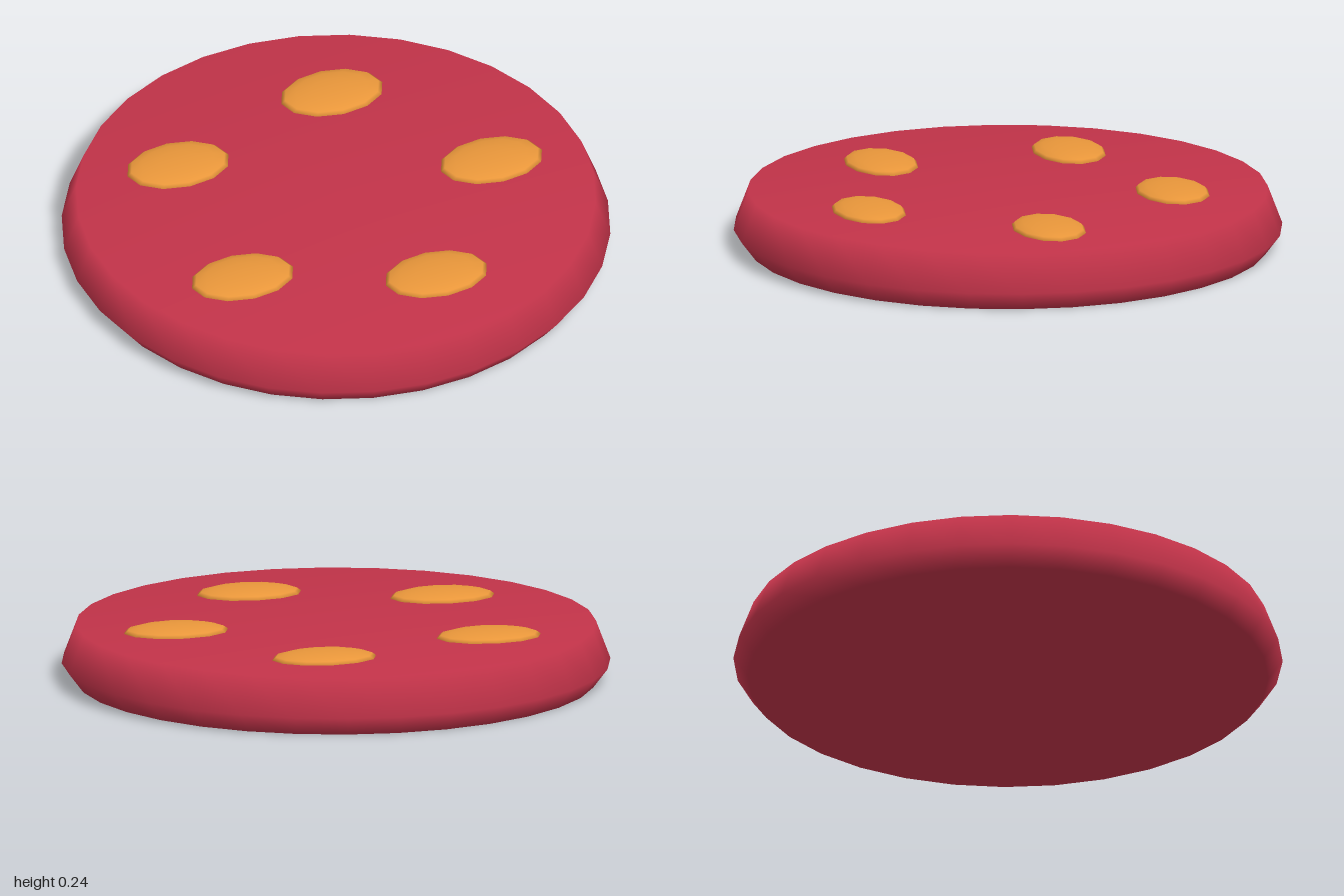
import * as THREE from 'three';

export function createModel() {
  const model = new THREE.Group();
  const red = new THREE.MeshStandardMaterial({ color: 0xc23349 });
  const orange = new THREE.MeshStandardMaterial({ color: 0xe8963a });

  // Flat round body with a bevelled rim, softly shaded across the edges
  const profile = [[0, 0], [0.947, 0], [1, 0.07], [0.947, 0.21], [0, 0.21]]
    .map(([r, y]) => new THREE.Vector2(r, y));
  const body = new THREE.Mesh(new THREE.LatheGeometry(profile, 32), red);
  body.name = 'body';
  model.add(body);

  // Five flattened oval spots in a ring, half sunk into the top
  const spotGeometry = new THREE.SphereGeometry(1, 12, 8).scale(0.195, 0.03, 0.132);
  for (let i = 0; i < 5; i++) {
    const angle = (i / 5) * Math.PI * 2;
    const spot = new THREE.Mesh(spotGeometry, orange);
    spot.name = `spot${i + 1}`;
    spot.position.set(0.6 * Math.cos(angle), 0.21, 0.6 * Math.sin(angle));
    model.add(spot);
  }

  return model;
}
